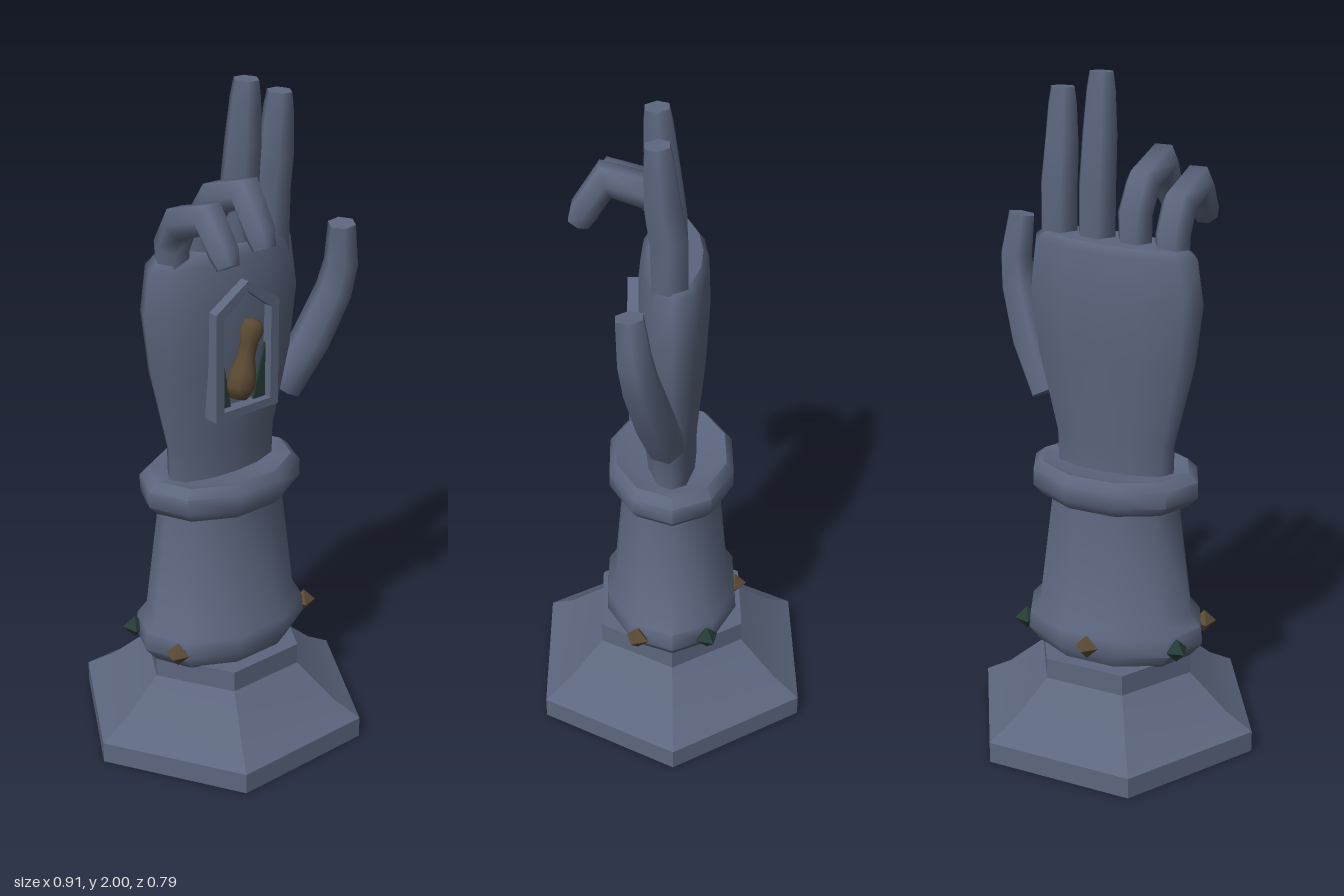
import * as THREE from 'three';
import { toCreasedNormals } from 'three/addons/utils/BufferGeometryUtils.js';

const V = (x, y, z) => new THREE.Vector3(x, y, z);

// Skin over a list of equal-length rings, closed with flat caps at both ends
function loft(rings) {
  const n = rings[0].length, pos = [], idx = [];
  const add = (p) => pos.push(p.x, p.y, p.z) / 3 - 1;
  rings.forEach((ring) => ring.forEach(add));
  for (let i = 0; i < rings.length - 1; i++) {
    for (let j = 0; j < n; j++) {
      const k = (j + 1) % n;
      const a = i * n + j, b = i * n + k, c = b + n, d = a + n;
      idx.push(a, b, c, a, c, d);
    }
  }
  [rings[0], rings[rings.length - 1]].forEach((ring, end) => {
    const centre = V(0, 0, 0);
    ring.forEach((p) => centre.addScaledVector(p, 1 / n));
    const c = add(centre);
    const first = ring.map(add)[0];
    for (let j = 0; j < n; j++) {
      const a = first + j, b = first + (j + 1) % n;
      if (end) idx.push(c, a, b); else idx.push(c, b, a);
    }
  });
  const geo = new THREE.BufferGeometry();
  geo.setAttribute('position', new THREE.Float32BufferAttribute(pos, 3));
  geo.setIndex(idx);
  geo.computeVertexNormals();
  return geo;
}

// Six-sided finger along points [x, y, z, radius]
function finger(points) {
  const c = points.map((p) => V(p[0], p[1], p[2]));
  return loft(points.map((p, i) => {
    const t = c[Math.min(i + 1, c.length - 1)].clone().sub(c[Math.max(i - 1, 0)]).normalize();
    const side = V(1, 0, 0).addScaledVector(t, -t.x).normalize();
    const n = t.clone().cross(side);
    return Array.from({ length: 6 }, (_, k) => {
      const a = k * Math.PI / 3;
      return c[i].clone().addScaledVector(side, Math.cos(a) * p[3]).addScaledVector(n, Math.sin(a) * p[3]);
    });
  }));
}

function lathe(profile, sides, start = 0) {
  return new THREE.LatheGeometry(profile.map((p) => new THREE.Vector2(...p)), sides, start);
}

const outline = (pts, Type = THREE.Shape) => new Type(pts.map((p) => new THREE.Vector2(...p)));

export function createModel() {
  const group = new THREE.Group();
  const stone = new THREE.MeshStandardMaterial({ color: 0x5c667e });
  const bronze = new THREE.MeshStandardMaterial({ color: 0x5a4a33 });
  const green = new THREE.MeshStandardMaterial({ color: 0x253b36 });
  stone.name = 'slate stone';
  bronze.name = 'dull bronze';
  green.name = 'dark green';
  const part = (name, geo, mat) => {
    const mesh = new THREE.Mesh(geo, mat);
    mesh.name = name;
    group.add(mesh);
    return mesh;
  };

  // Hexagonal plinth
  const plinth = lathe([[0, 0], [0.455, 0], [0.455, 0.065], [0.37, 0.115], [0.25, 0.22], [0.25, 0.285], [0, 0.285]], 6, Math.PI / 6);
  part('plinth', toCreasedNormals(plinth, 0.2), stone);

  // Oval sleeve with a lower band and an upper cuff
  const sleeve = lathe([
    [0, 0.28], [0.25, 0.28], [0.288, 0.325], [0.282, 0.38], [0.25, 0.415], [0.205, 0.755], [0.235, 0.765],
    [0.265, 0.795], [0.265, 0.845], [0.235, 0.87], [0.19, 0.86], [0, 0.86],
  ], 10, Math.PI / 10);
  sleeve.scale(1, 1, 0.725);
  part('sleeve', toCreasedNormals(sleeve, 0.95), stone);

  // Palm: rows of height, half width, front depth, back depth
  const quarter = [[1, 0], [0.88, 0.55], [0.45, 0.9], [0, 1]];
  const half = [...quarter, ...quarter.slice(0, 3).reverse().map(([x, z]) => [-x, z])];
  const section = [...half, ...half.slice(1, 6).reverse().map(([x, z]) => [x, -z])];
  const rows = [
    [0.84, 0.187, 0.075, 0.075], [0.95, 0.19, 0.075, 0.075], [1.2, 0.25, 0.095, 0.1],
    [1.38, 0.272, 0.1, 0.11], [1.52, 0.252, 0.085, 0.105], [1.545, 0.222, 0.065, 0.088],
  ];
  part('palm', loft(rows.map(([y, w, front, back]) => section.map(([x, z]) =>
    V(x * w, y + (y > 1.5 ? 0.04 * x * w : 0), -z * (z > 0 ? back : front))))), stone);

  // Two raised fingers
  [['indexFinger', 0.18, 1.95], ['middleFinger', 0.06, 2]].forEach(([name, x, top]) => {
    part(name, finger([
      [x, 1.48, 0.005, 0.057], [x, 1.68, 0.008, 0.058], [x, top - 0.17, 0.025, 0.054],
      [x, top - 0.05, 0.034, 0.045], [x, top, 0.037, 0.037],
    ]), stone);
  });

  // Two curled fingers
  [['ringFinger', -0.06, 0, 0], ['littleFinger', -0.175, -0.05, -0.012]].forEach(([name, x, dy, dz]) => {
    part(name, finger([
      [x, 1.48, 0.005, 0.05], [x, 1.62 + dy, 0.002, 0.053], [x, 1.695 + dy, 0.055 + dz, 0.053],
      [x, 1.735 + dy, 0.18 + dz, 0.053], [x, 1.64 + dy * 0.7, 0.238 + dz, 0.045], [x, 1.6 + dy * 0.6, 0.256 + dz, 0.034],
    ]), stone);
  });

  // Thumb
  part('thumb', finger([
    [0.228, 1.045, 0.015, 0.056], [0.305, 1.19, 0.05, 0.06], [0.36, 1.34, 0.085, 0.056],
    [0.373, 1.43, 0.1, 0.052], [0.36, 1.552, 0.112, 0.042],
  ]), stone);

  // Pointed frame on the palm
  const frame = outline([[-0.115, 1.06], [0.115, 1.06], [0.115, 1.385], [0, 1.46], [-0.115, 1.385]]);
  frame.holes.push(outline([[-0.086, 1.085], [-0.086, 1.365], [0, 1.43], [0.086, 1.365], [0.086, 1.085]], THREE.Path));
  const flat = (depth) => ({ depth, bevelEnabled: false });
  part('palmFrame', new THREE.ExtrudeGeometry(frame, flat(0.055)), stone).position.z = 0.067;

  // Green corners inside the frame
  [[-1, 1.32], [1, 1.25]].forEach(([s, top]) => {
    const corner = outline([[s * 0.086, 1.085], [s * 0.042, 1.085], [s * 0.086, top]]);
    part('frameInlay', new THREE.ExtrudeGeometry(corner, flat(0.008)), green).position.z = 0.09;
  });

  // Bronze spindle held in the frame
  const spindle = part('spindle', lathe([
    [0, -0.12], [0.028, -0.115], [0.044, -0.08], [0.04, -0.04], [0.026, 0.01],
    [0.027, 0.05], [0.036, 0.085], [0.025, 0.113], [0, 0.118],
  ], 8), bronze);
  spindle.position.set(0, 1.225, 0.11);
  spindle.rotation.z = -0.25;

  // Diamond studs around the lower band
  [[0.25, 0.105, bronze], [-0.25, 0.105, bronze], [0.25, -0.105, green], [-0.25, -0.105, green], [0, -0.199, bronze]]
    .forEach(([x, z, mat]) => {
      const stud = part('bandStud', new THREE.OctahedronGeometry(0.037), mat);
      stud.position.set(x, 0.345, z);
      stud.rotation.y = x ? Math.atan2(x, z * 1.4) : 0;
    });

  return group;
}
